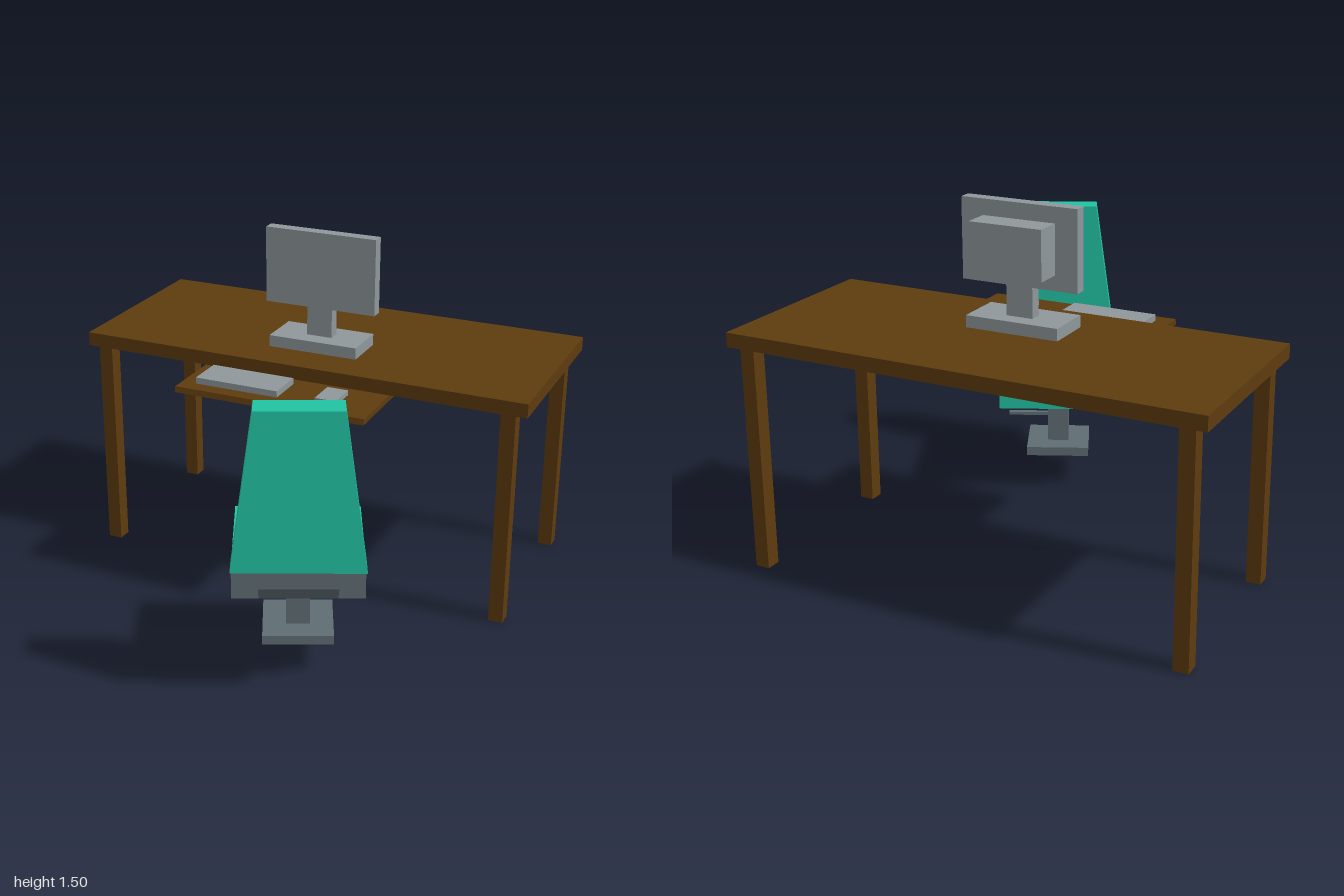
import * as THREE from 'three';
import { mergeGeometries } from 'three/addons/utils/BufferGeometryUtils.js';

function material(name, color) {
  const m = new THREE.MeshStandardMaterial({ color, side: THREE.DoubleSide });
  m.name = name;
  return m;
}

// Closed block given by its min/max extents
function block(x0, x1, y0, y1, z0, z1) {
  return new THREE.BoxGeometry(x1 - x0, y1 - y0, z1 - z0)
    .translate((x0 + x1) / 2, (y0 + y1) / 2, (z0 + z1) / 2);
}

// Hollow block: four sides and a top, open below; hole = [x0, x1, z0, z1] cut in the top
function shell(x0, x1, y0, y1, z0, z1, hole) {
  const sides = block(x0, x1, y0, y1, z0, z1);
  const index = Array.from(sides.index.array);
  sides.setIndex([...index.slice(0, 12), ...index.slice(24)]); // drop top and bottom
  sides.clearGroups();
  const rect = (P, a, b, c, d) => new P().moveTo(a, -d).lineTo(b, -d).lineTo(b, -c).lineTo(a, -c);
  const shape = rect(THREE.Shape, x0, x1, z0, z1);
  if (hole) shape.holes.push(rect(THREE.Path, ...hole));
  const top = new THREE.ShapeGeometry(shape).rotateX(-Math.PI / 2).translate(0, y1, 0);
  return mergeGeometries([sides, top]);
}

// Outline extruded along its normal
function extrude(points, depth) {
  const shape = new THREE.Shape(points.map(([x, y]) => new THREE.Vector2(x, y)));
  return new THREE.ExtrudeGeometry(shape, { depth, bevelEnabled: false });
}

export function createModel() {
  const wood = material('brown wood', 0x5e3b0e);
  const plastic = material('light grey plastic', 0x8f979b);
  const metal = material('dark grey metal', 0x5f6c73);
  const fabric = material('teal fabric', 0x22c2a2);

  const model = new THREE.Group();
  const add = (parent, name, geometry, mat) => {
    const mesh = new THREE.Mesh(geometry, mat);
    mesh.name = name;
    parent.add(mesh);
  };
  const group = (name) => {
    const g = new THREE.Group();
    g.name = name;
    model.add(g);
    return g;
  };

  // Desk
  const desk = group('desk');
  add(desk, 'tabletop', shell(-1, 1, 0.94, 1, -0.935, -0.085, [-0.2, 0.2, -0.46, -0.26]), wood);
  for (const x of [-0.92, 0.92]) {
    for (const z of [-0.883, -0.123]) {
      add(desk, 'deskLeg', block(x - 0.031, x + 0.031, 0, 0.998, z - 0.032, z + 0.032), wood);
    }
  }

  // Sliding tray, its front edge leaning out a little at the bottom
  const tray = shell(-0.42, 0.42, 0.915, 0.939, -0.25, 0.187);
  const p = tray.attributes.position;
  for (let i = 0; i < p.count; i++) if (p.getY(i) < 0.92) p.setZ(i, p.getZ(i) + 0.006);
  tray.computeVertexNormals();
  add(desk, 'keyboardTray', tray, wood);
  add(desk, 'keyboard', block(-0.355, 0.015, 0.94, 0.967, -0.035, 0.127), plastic);
  add(desk, 'mouse', block(0.175, 0.267, 0.94, 0.96, -0.02, 0.11), plastic);

  // Monitor
  const monitor = group('monitor');
  add(monitor, 'monitorBase', shell(-0.2, 0.2, 1, 1.05, -0.46, -0.26, [-0.057, 0.057, -0.39, -0.337]), plastic);
  add(monitor, 'monitorNeck', shell(-0.057, 0.057, 1.05, 1.175, -0.39, -0.337), plastic);
  add(monitor, 'screen', block(-0.25, 0.25, 1.175, 1.505, -0.39, -0.337), plastic);
  add(monitor, 'screenHousing', block(-0.155, 0.155, 1.237, 1.44, -0.502, -0.39), plastic);

  // Chair, turned towards the desk
  const chair = group('chair');
  chair.position.set(0.28, 0, 0.5);
  chair.rotation.y = 0.428;
  const half = 0.253;
  add(chair, 'seat', shell(-half, half, 0.412, 0.548, -half, half - 0.003), fabric);
  add(chair, 'seatBackPlate', block(-half, half, 0.412, 0.548, half - 0.003, half), metal);
  add(chair, 'backrest', extrude(
    [[-half, 0.576], [half, 0.576], [0.165, 1.217], [-0.165, 1.217]], 0.105
  ).translate(0, 0, half), fabric);

  // Bracket profile in z and y, extruded across the chair
  add(chair, 'backrestBracket', extrude(
    [[-half, 0.412], [-half, 0.576], [-0.35, 0.576], [-0.35, 0.505]], 0.3
  ).rotateY(Math.PI / 2).translate(-0.15, 0, 0), metal);

  add(chair, 'chairPost', shell(-0.047, 0.047, 0.18, 0.412, -0.047, 0.047), metal);
  add(chair, 'chairBase', shell(-0.14, 0.14, 0.14, 0.18, -0.14, 0.14, [-0.047, 0.047, -0.047, 0.047]), metal);
  add(chair, 'heightLever', block(0.047, 0.228, 0.289, 0.303, -0.012, 0.012), metal);

  return model;
}
